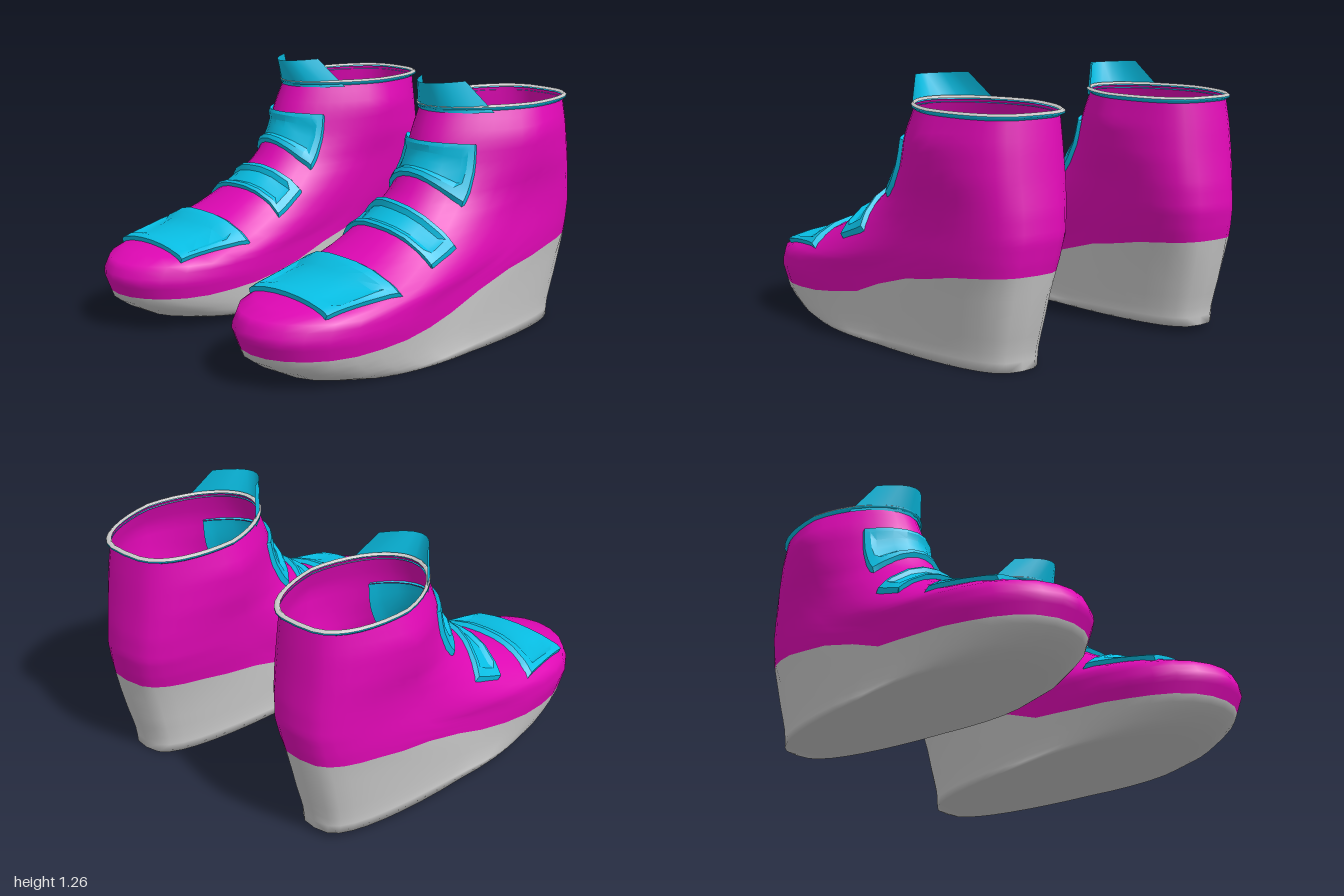
import * as THREE from 'three';
import { toCreasedNormals } from 'three/addons/utils/BufferGeometryUtils.js';

const V = (x, y, z) => new THREE.Vector3(x, y, z);
const mix = THREE.MathUtils.lerp;
const COLS = 36;

// Shoe outline by height: y, heel z, toe z, half widths (heel, middle, front), front roundness, sideways shift
const LEVELS = [
  [0.00, -0.88, 0.64, 0.23, 0.29, 0.41, 0.75, 0],
  [0.03, -0.88, 0.80, 0.24, 0.29, 0.44, 0.85, 0],
  [0.10, -0.89, 0.94, 0.25, 0.295, 0.48, 0.95, 0],
  [0.24, -0.93, 1.00, 0.27, 0.305, 0.54, 1.03, 0],
  [0.33, -0.95, 0.95, 0.28, 0.305, 0.54, 1.03, 0],
  [0.40, -0.965, 0.65, 0.285, 0.30, 0.46, 0.9, 0],
  [0.50, -0.985, 0.40, 0.29, 0.295, 0.37, 0.8, -0.01],
  [0.60, -1.00, 0.21, 0.29, 0.29, 0.33, 0.85, -0.02],
  [0.72, -0.99, 0.06, 0.29, 0.295, 0.29, 0.95, -0.025],
  [0.85, -0.97, -0.03, 0.29, 0.32, 0.27, 1, -0.025],
  [1.00, -0.95, -0.08, 0.28, 0.33, 0.26, 1, -0.025],
  [1.13, -0.93, -0.14, 0.27, 0.285, 0.24, 1, -0.03],
];
// Height of the edge between sole and upper: z, y
const SPLIT = [[-1.1, 0.46], [-0.6, 0.42], [-0.25, 0.35], [0, 0.23], [0.3, 0.18], [0.7, 0.15], [1.1, 0.15]];

// Linear lookup in a table whose first column ascends
function lookup(table, key) {
  let i = 0;
  while (i < table.length - 2 && table[i + 1][0] < key) i++;
  const [a, b] = [table[i], table[i + 1]];
  const f = THREE.MathUtils.clamp((key - a[0]) / (b[0] - a[0]), 0, 1);
  return a.map((v, k) => mix(v, b[k], f));
}

// Point on the shoe at an angle (0 = toe) and a height
function skin(angle, y) {
  const [, heel, toe, wHeel, wMid, wToe, round, shift] = lookup(LEVELS, y);
  const t = (1 + Math.cos(angle)) / 2, s = Math.sin(angle);
  const w = t < 0.5 ? mix(wHeel, wMid, t * 2) : mix(wMid, wToe, t * 2 - 1);
  const power = t < 0.5 ? 0.65 : round;
  return V(shift + Math.sign(s) * w * Math.pow(Math.abs(s), power), y, mix(heel, toe, t));
}
const splitAt = (angle) => lookup(SPLIT, skin(angle, 0.25).z)[1];

// Surface through rows of points
function surface(rows, closed, extraFaces = []) {
  const n = rows[0].length, index = [...extraFaces];
  for (let i = 0; i < rows.length - 1; i++) {
    for (let j = 0; j < (closed ? n : n - 1); j++) {
      const k = (j + 1) % n, a = i * n + j, b = i * n + k;
      index.push(a, b, b + n, a, b + n, a + n);
    }
  }
  const g = new THREE.BufferGeometry().setFromPoints(rows.flat());
  g.setIndex(index);
  g.computeVertexNormals();
  return g;
}
const ring = (fn) => Array.from({ length: COLS }, (_, j) => fn((j / COLS) * Math.PI * 2));

// Ring on the shoe at one height, widened about the ankle
const collarRing = (grow, y) => ring((a) => {
  const p = skin(a, 1.13);
  return V(p.x * grow, y, (p.z + 0.53) * grow - 0.53);
});

// Strap laid onto the upper; lifts go from its outer edge over the rim to the face
const RAISED = [-0.01, 0.024, 0.026, 0.008];
function strap(target, origin, dir, lifts = RAISED) {
  const us = [-1, -0.98, -0.9, -0.82, -0.55, -0.28, 0, 0.28, 0.55, 0.82, 0.9, 0.98, 1];
  const vs = [0, 0.05, 0.16, 0.28, 0.5, 0.72, 0.84, 0.95, 1];
  const caster = new THREE.Raycaster();
  const rows = vs.map((v, i) => us.map((u, j) => {
    const o = origin(u, v);
    let hit;
    for (let k = 0; k < 40 && !hit; k++) {
      caster.set(o, dir);
      hit = caster.intersectObject(target)[0];
      o.x *= 0.99;
    }
    const edge = Math.min(i, j, vs.length - 1 - i, us.length - 1 - j);
    const p = hit ? hit.point : o;
    return p.clone().addScaledVector(V(u * 0.5, 0.8, 0.6).normalize(), lifts[Math.min(edge, 3)]);
  }));
  return surface(rows.reverse(), false);
}

// All parts of one shoe: [name, geometry, material key, crease angle]
function shoeParts() {
  const parts = [];

  // Wedge sole, a hollow shell whose bottom is joined straight across
  const soleRows = [0, 0.1, 0.2, 0.35, 0.5, 0.75, 1].map((s) => ring((a) => skin(a, splitAt(a) * s)));
  const bottom = [];
  for (let j = 0; j < COLS / 2; j++) {
    const opposite = (COLS - j) % COLS, next = COLS - j - 1;
    bottom.push(j, opposite, j + 1, j + 1, opposite, next);
  }
  parts.push(['sole', surface(soleRows, true, bottom), 'sole', 0]);

  const upperRows = [];
  for (let i = 0; i <= 26; i++) {
    const s = Math.pow(i / 26, 1.35);
    upperRows.push(ring((a) => skin(a, mix(splitAt(a), 1.13, s))));
  }
  const upper = surface(upperRows, true);
  parts.push(['upper', upper, 'upper', 0]);

  // Flared collar edge and its thin lining
  parts.push(['collar', surface([collarRing(1, 1.115), collarRing(1.06, 1.128), collarRing(1.06, 1.136)], true), 'trim', 0]);
  parts.push(['collarLining', surface([collarRing(1.06, 1.136), collarRing(1.02, 1.147),
    collarRing(0.99, 1.135)], true), 'sole', 0]);

  // Tongue tab flaring up and forward
  const across = [-1, -0.75, -0.5, -0.25, 0, 0.25, 0.5, 0.75, 1];
  parts.push(['tongueTab', surface([
    across.map((a) => skin(a * 1.05, 1.11).multiply(V(1.04, 1, 0.98))),
    across.map((a) => V(a * 0.145 - 0.025, 1.26 - 0.01 * (1 - a * a), -0.08 - 0.14 * a * a)),
  ], false), 'trim', 0]);

  // Three straps over the foot
  const target = new THREE.Mesh(upper, new THREE.MeshStandardMaterial({ side: THREE.DoubleSide }));
  const down = V(0, -1, 0), back = V(0, 0, -1);
  const anklePath = (u, v) => V(u * mix(0.215, 0.24, v) - 0.02, mix(0.97, 0.81, v) - 0.13 * u * u * v, 2);
  parts.push(['toeStrap', strap(target, (u, v) =>
    V(u * mix(0.34, 0.27, v), 2, mix(0.41, 0.76, v) + u * u * mix(-0.05, 0.005, v)), down), 'trim', 0.5]);
  parts.push(['middleStrap', strap(target, (u, v) =>
    V(u * mix(0.285, 0.305, v), 2, mix(0.08, 0.22, v) - u * u * mix(0.1, 0.06, v)), down), 'trim', 0.5]);
  parts.push(['ankleStrap', strap(target, anklePath, back), 'trim', 0.5]);
  // Inner face of the ankle strap, seen through the opening
  parts.push(['ankleStrapLining', strap(target, anklePath, back, [-0.012, -0.012, -0.012, -0.012]), 'trim', 0]);
  return parts;
}

// Mirror a geometry in x and keep its faces pointing outward
function mirrored(geometry) {
  const g = geometry.clone().scale(-0.96, 0.975, 0.97);
  const idx = g.index.array;
  for (let i = 0; i < idx.length; i += 3) [idx[i], idx[i + 1]] = [idx[i + 1], idx[i]];
  g.computeVertexNormals();
  return g;
}

export function createModel() {
  const material = (name, color) => {
    const m = new THREE.MeshStandardMaterial({ color, side: THREE.DoubleSide });
    m.name = name;
    return m;
  };
  const materials = {
    upper: material('magenta', 0xe008b5),
    trim: material('cyan', 0x08c0e6),
    sole: material('light grey', 0xcacaca),
  };
  const model = new THREE.Group();
  model.name = 'shoes';
  const parts = shoeParts();
  for (const side of ['left', 'right']) {
    const shoe = new THREE.Group();
    shoe.name = side + 'Shoe';
    for (const [name, geometry, key, crease] of parts) {
      let g = side === 'left' ? geometry : mirrored(geometry);
      if (crease) g = toCreasedNormals(g, crease);
      const mesh = new THREE.Mesh(g, materials[key]);
      mesh.name = name;
      shoe.add(mesh);
    }
    if (side === 'left') shoe.position.set(0.535, 0, 0);
    else shoe.position.set(-0.56, 0.03, 0.015);
    model.add(shoe);
  }
  return model;
}
